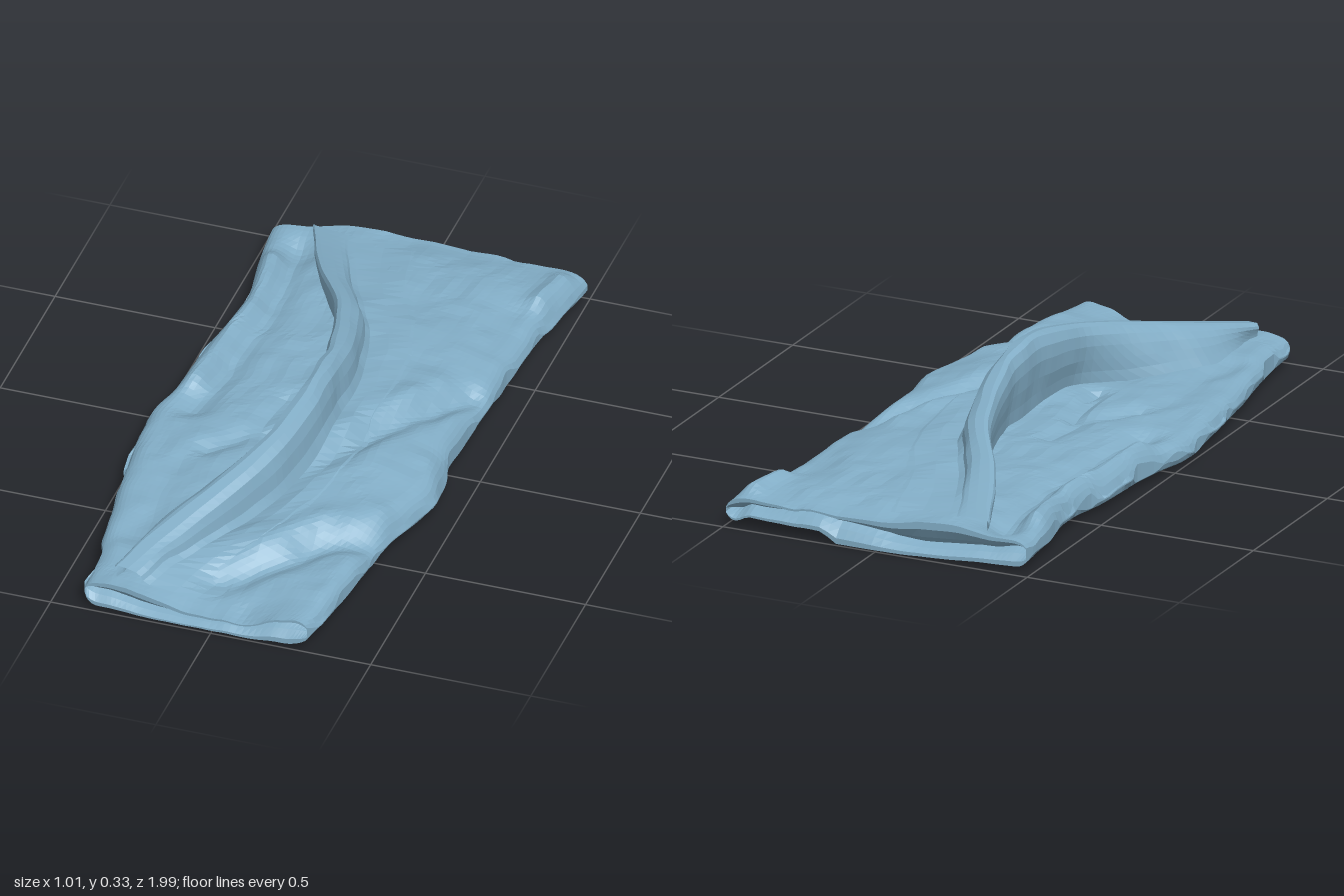
import * as THREE from 'three';

const { lerp, smoothstep, clamp } = THREE.MathUtils;
const material = new THREE.MeshStandardMaterial({ color: 0x82adc6, flatShading: true, side: THREE.DoubleSide });

// Smooth interpolation through a short list of [t, value] pairs
function table(pairs) {
  return (t) => {
    if (t <= pairs[0][0]) return pairs[0][1];
    for (let i = 1; i < pairs.length; i++) {
      const [t0, a] = pairs[i - 1], [t1, b] = pairs[i];
      if (t <= t1) {
        const p = i > 1 ? pairs[i - 2] : pairs[i - 1], n = pairs[i + 1] || pairs[i];
        const k = (t - t0) / (t1 - t0), h = t1 - t0;
        const m0 = (b - p[1]) / (t1 - p[0]) * h, m1 = (n[1] - a) / (n[0] - t0) * h;
        const k2 = k * k, k3 = k2 * k;
        return (2 * k3 - 3 * k2 + 1) * a + (k3 - 2 * k2 + k) * m0 + (3 * k2 - 2 * k3) * b + (k3 - k2) * m1;
      }
    }
    return pairs[pairs.length - 1][1];
  };
}

// Outline, fold line and heights along the length
const leftEdge = table([[-1, -.48], [-.8, -.46], [-.6, -.43], [-.35, -.46], [-.1, -.48], [.05, -.51], [.3, -.49], [.6, -.45], [.85, -.41], [1, -.4]]);
const rightEdge = table([[-1, .5], [-.92, .49], [-.75, .45], [-.4, .43], [0, .41], [.22, .43], [.45, .37], [.75, .34], [1, .3]]);
const foldX = table([[-.95, -.34], [-.65, -.21], [-.45, -.09], [-.2, -.01], [0, .015], [.2, 0], [.4, -.05], [.6, -.145], [.78, -.24], [.95, -.32]]);
const foldY = table([[-.95, .125], [-.8, .155], [-.5, .23], [-.2, .295], [0, .33], [.12, .33], [.4, .275], [.6, .225], [.95, .135]]);
const plateau = table([[-1, .12], [-.4, .148], [0, .16], [.3, .148], [.7, .115], [1, .1]]);

// Small irregular wrinkles from seeded value noise
const hash = (i, j) => { const s = Math.sin(i * 127.1 + j * 311.7) * 43758.5453; return 2 * (s - Math.floor(s)) - 1; };
function noise(x, z) {
  const i = Math.floor(x), j = Math.floor(z), u = smoothstep(x - i, 0, 1), v = smoothstep(z - j, 0, 1);
  return lerp(lerp(hash(i, j), hash(i + 1, j), u), lerp(hash(i, j + 1), hash(i + 1, j + 1), u), v);
}
const ripple = (x, z) => .006 * noise(9 * x + 5, 6 * z) + .004 * noise(22 * x, 18 * z + 9);

// Crease running along a polyline [x, z]
function crease(x, z, pts, width) {
  let best = 9;
  for (let i = 1; i < pts.length; i++) {
    const [ax, az] = pts[i - 1], [bx, bz] = pts[i], dx = bx - ax, dz = bz - az;
    const k = clamp(((x - ax) * dx + (z - az) * dz) / (dx * dx + dz * dz), 0, 1);
    best = Math.min(best, Math.hypot(x - ax - k * dx, z - az - k * dz));
  }
  return Math.exp(-best * best / (width * width));
}
// Negative depth makes a raised wrinkle
const grooves = [
  { pts: [[.38, -.27], [.26, -.08], [.1, .22], [-.03, .52], [-.2, .76]], width: .045, depth: .04 },
  { pts: [[.36, .53], [.22, .6], [.1, .74], [-.02, .84]], width: .05, depth: .035 },
  { pts: [[-.36, -.85], [-.34, -.5], [-.36, -.2], [-.38, .02]], width: .05, depth: .028 },
  { pts: [[-.13, -.1], [-.18, .1], [-.28, .22]], width: .035, depth: .02 },
  { pts: [[-.12, .08], [-.1, .3]], width: .03, depth: .025 },
  { pts: [[-.34, .3], [-.33, .7]], width: .05, depth: .012 },
  { pts: [[-.41, -.75], [-.39, -.5], [-.42, -.1]], width: .05, depth: -.035 },
  { pts: [[.3, -.25], [.16, -.02], [0, .25]], width: .05, depth: -.01 },
  { pts: [[.33, .42], [.18, .5], [.04, .66]], width: .05, depth: -.015 },
  { pts: [[.44, -.92], [.42, -.8]], width: .04, depth: -.03 },
];

function clothTop(x, z) {
  const s = x - foldX(z);
  let y = lerp(.095, plateau(z), smoothstep(s, -.02, .12));
  y -= .045 * smoothstep(x, .2, .46) * smoothstep(-z, -.9, -.2) * lerp(.6, 1, smoothstep(z, -1, -.6));
  for (const g of grooves) y -= g.depth * crease(x, z, g.pts, g.width);
  y -= .05 * crease(x, z, [[-.04, 1], [.06, 1]], .14);
  y -= .025 * crease(x, z, [[0, -1], [.25, -1]], .1);
  return y + ripple(x, z);
}

// Join equal-length rings of points into a surface
function loft(rings, closed) {
  const n = rings[0].length, index = [];
  for (let i = 0; i < rings.length - 1; i++) {
    for (let j = 0; j < (closed ? n : n - 1); j++) {
      const a = i * n + j, b = i * n + (j + 1) % n, c = a + n, d = b + n;
      index.push(a, c, b, b, c, d);
    }
  }
  const geometry = new THREE.BufferGeometry();
  geometry.setAttribute('position', new THREE.Float32BufferAttribute(rings.flat(2), 3));
  geometry.setIndex(index);
  geometry.computeVertexNormals();
  return geometry;
}

// One point of the folded cloth; pinch closes the layers inside the open ends
function clothPoint(u, isTop, v, pinch) {
  const z0 = lerp(-.99, .985, v);
  const x = lerp(leftEdge(z0) + .012 * noise(15 * z0, 3), rightEdge(z0) + .01 * noise(13 * z0, 8), u);
  const zBack = x < 0 ? -1 - .11 * x : -1 + .03 * x;
  const z = lerp(zBack, .985 + .008 * Math.cos(5 * x), v);
  const dl = x - leftEdge(z0), dr = rightEdge(z0) - x;
  const round = (d, w) => { const e = 1 - clamp(d / w, 0, 1); return Math.sqrt(1 - e * e); };
  const hem = .048 + .012 * noise(9 * z0, 1);
  const top = lerp(hem, clothTop(x, z), Math.min(round(dl, .06), round(dr, .06)));
  // The lower layer stops short of the right edge towards the back
  const lowerEdge = lerp(.12, .42, (z + 1) / 1.3) + .02 * noise(11 * z, 4);
  const hollow = .028 * smoothstep(x - lowerEdge, 0, .05) * smoothstep(dr, .02, .08);
  const floor = .006 + .02 * Math.abs(x) ** 1.5 + ripple(x, z) * .4 + hollow;
  const bottom = lerp(hem - .004, floor, Math.min(round(dl, .04), round(dr, .08)));
  const mid = lerp(bottom, top, .5 + .2 * Math.sin(9 * x));
  return [x, lerp(isTop ? top : bottom, mid, pinch), z];
}

function clothRing(v, pinch = 0) {
  const ring = [], n = 44;
  const spread = (i) => lerp(i / n, .5 - .5 * Math.cos(Math.PI * i / n), .6);
  for (let i = 0; i <= n; i++) ring.push(clothPoint(spread(i), true, v, pinch));
  for (let i = n; i >= 0; i--) ring.push(clothPoint(spread(i), false, v, pinch));
  return ring;
}

function foldedCloth() {
  const rings = [clothRing(.025, 1), clothRing(.01, .7), clothRing(0, .3)];
  for (let i = 0; i <= 90; i++) rings.push(clothRing(i / 90));
  rings.push(clothRing(1, .3), clothRing(.99, .7), clothRing(.975, 1));
  return loft(rings, true);
}

// Raised fold: [offset from crest, share of crest height]
const foldProfile = [[-.004, 0], [-.012, .2], [-.025, .42], [-.034, .65], [-.033, .83], [-.02, .96], [0, 1], [.02, .98],
  [.036, .87], [.044, .65], [.048, .38], [.06, .18], [.1, .08], [.14, .02], [.19, -.15]];

function raisedFold() {
  const rings = [];
  for (let i = 0; i <= 64; i++) {
    const z = lerp(-.925, .94, i / 64), a = Math.abs(z);
    const rightWidth = 1 + (z < 0 ? 1.2 : .8) * a, leftWidth = 1 - .7 * a;
    // Towards the front the left face leans out into a gentle slope
    const lean = .1 * smoothstep(z, .3, .55) * (1 - smoothstep(z, .65, .94));
    rings.push(foldProfile.map(([dx, f]) => {
      const side = dx < 0 ? dx * leftWidth - lean * (1 - f) : dx * rightWidth;
      const x = foldX(z) + side + .006 * noise(12 * z, 40 * dx);
      return [x, lerp(clothTop(x, z), foldY(z), f), z + .01 * Math.sin(30 * dx)];
    }));
  }
  return loft(rings, false);
}

export function createModel() {
  const group = new THREE.Group();
  group.name = 'foldedBlanket';
  for (const [name, geometry] of [['clothLayers', foldedCloth()], ['raisedFold', raisedFold()]]) {
    const mesh = new THREE.Mesh(geometry, material);
    mesh.name = name;
    group.add(mesh);
  }
  return group;
}
